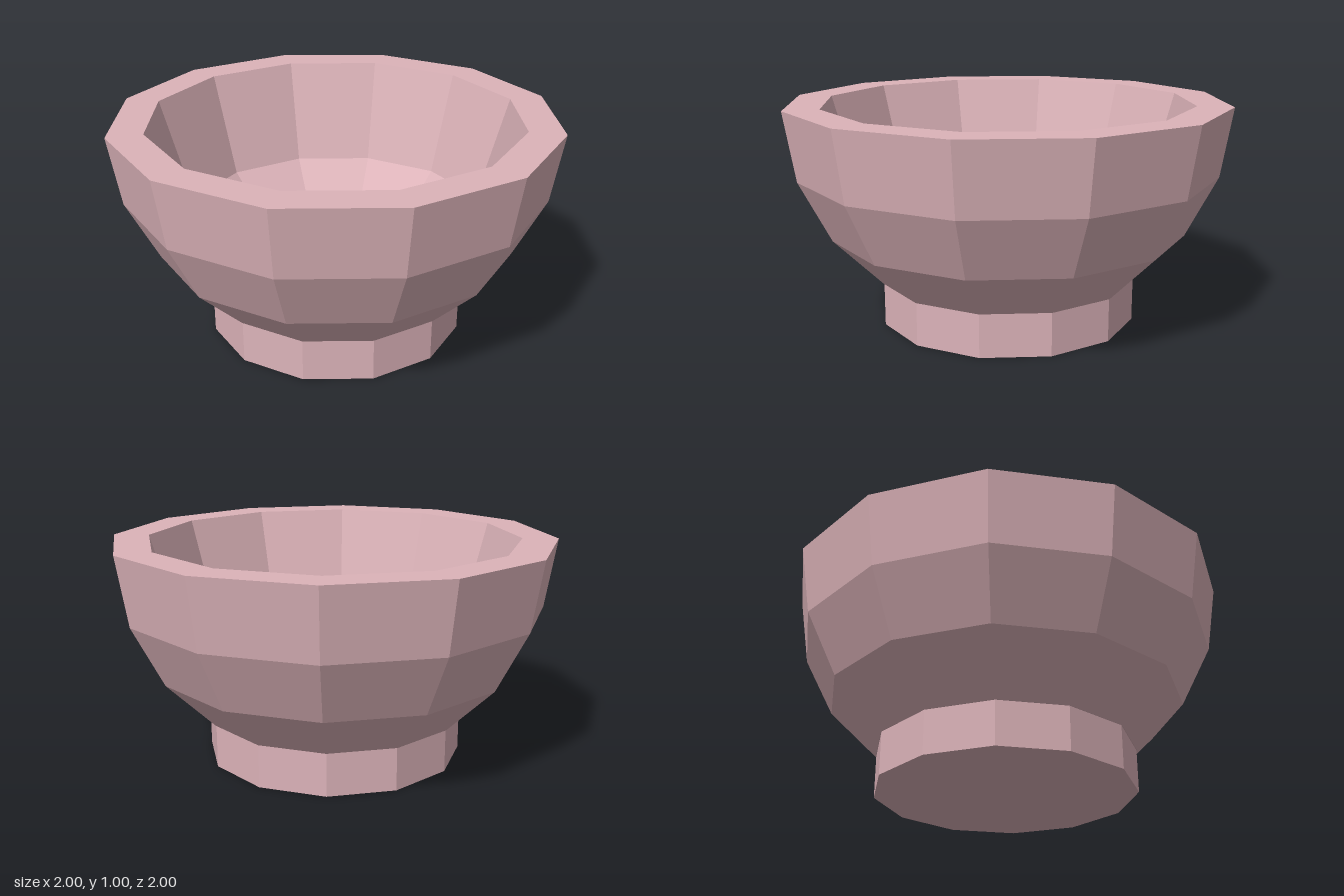
import * as THREE from 'three';

const SIDES = 12;

// Faceted turned part from [radius, height] points, listed up the outside
function turned(name, profile, material) {
  const points = profile.map(([r, y]) => new THREE.Vector2(r, y));
  const mesh = new THREE.Mesh(new THREE.LatheGeometry(points, SIDES), material);
  mesh.name = name;
  return mesh;
}

export function createModel() {
  const group = new THREE.Group();
  group.name = 'bowl';
  const clay = new THREE.MeshStandardMaterial({ color: 0xdcb3b9, flatShading: true });

  // Thick-walled bowl: outside, flat rim, then inside down to the floor
  group.add(turned('bowlBody', [
    [0, 0.195], [0.59, 0.195], [0.81, 0.415], [0.95, 0.69], [1, 1],
    [0.84, 1], [0.7, 0.525], [0.47, 0.3], [0, 0.3],
  ], clay));

  // Straight foot ring with a closed base
  group.add(turned('foot', [[0, 0], [0.587, 0], [0.587, 0.195], [0, 0.195]], clay));

  return group;
}
